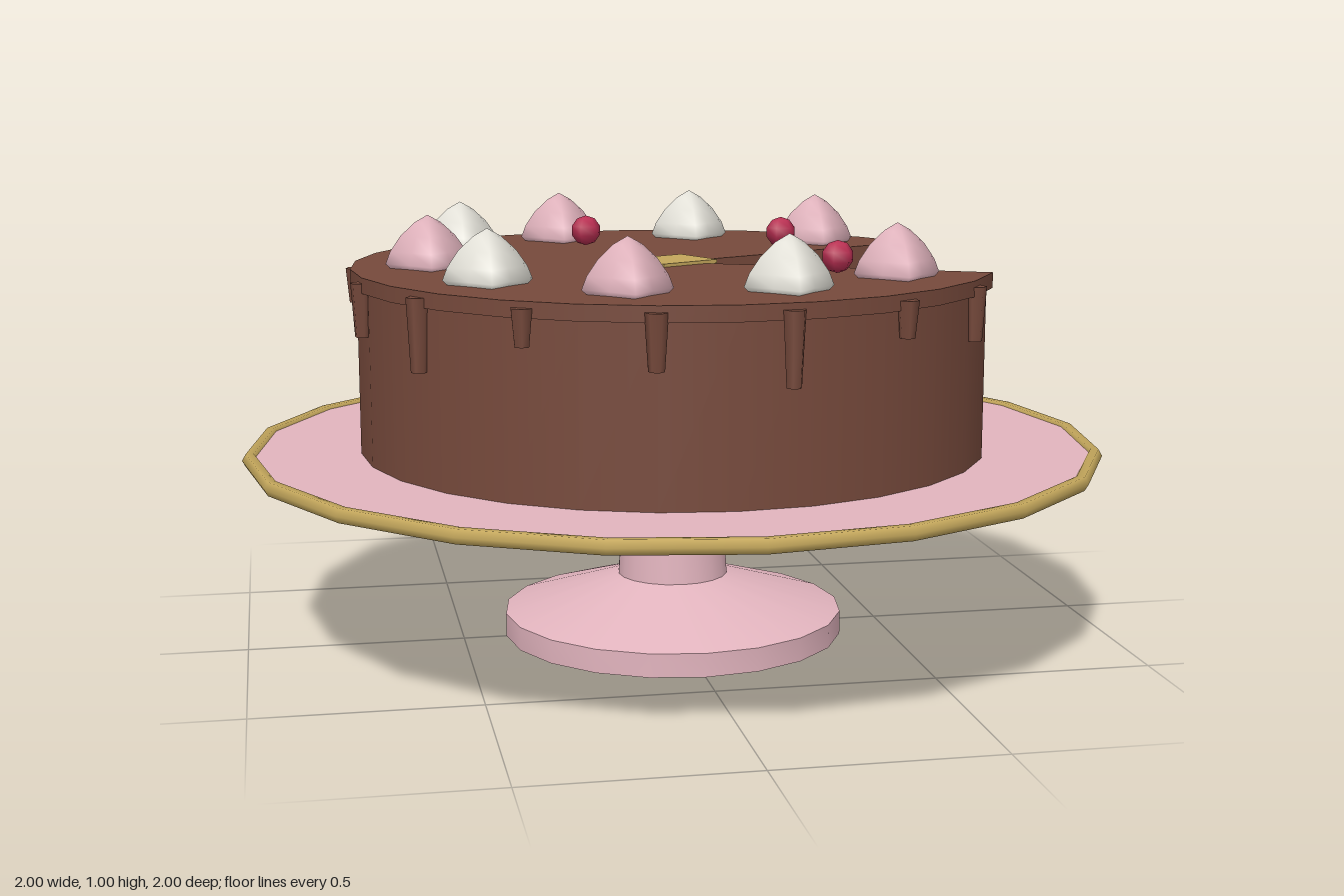
import * as THREE from 'three';
import { mergeVertices, toCreasedNormals } from 'three/addons/utils/BufferGeometryUtils.js';

const mat = (name, color, side = THREE.FrontSide) => {
  const m = new THREE.MeshStandardMaterial({ color, side });
  m.name = name;
  return m;
};
const v2 = (pts) => pts.map(([x, y]) => new THREE.Vector2(x, y));

const CUT = 0.45; // half angle of the missing slice, which opens towards +x

// Four-lobed piped swirl, standing on y = 0
function dollopGeometry() {
  const profile = [[0.085, 0], [0.097, 0.012], [0.086, 0.04], [0.062, 0.075], [0.03, 0.105], [0, 0.122]];
  let g = new THREE.LatheGeometry(v2(profile), 8);
  const p = g.attributes.position;
  for (let i = 0; i < p.count; i++) {
    const lobe = Math.cos(4 * Math.atan2(p.getX(i), p.getZ(i)));
    const k = lobe > 0 ? 1 : 0.66;
    p.setXYZ(i, p.getX(i) * k, p.getY(i), p.getZ(i) * k);
  }
  g.deleteAttribute('uv');
  g.deleteAttribute('normal');
  g = mergeVertices(g, 1e-5);
  g.computeVertexNormals();
  return g;
}

export function createModel() {
  const root = new THREE.Group();
  root.name = 'cakeOnStand';

  const pink = mat('pink', 0xe2b4be);
  const gold = mat('gold', 0xc4a75c);
  const chocolate = mat('chocolate', 0x774a3c);
  const cream = mat('cream', 0xebe9e0);
  const raspberry = mat('raspberry filling', 0xc4637e);
  const berryRed = mat('berry red', 0xb92f52);

  const add = (name, geometry, material, parent = root) => {
    const m = new THREE.Mesh(geometry, material);
    m.name = name;
    parent.add(m);
    return m;
  };

  // Stand: foot, stem and plate turned in one piece
  const stand = new THREE.LatheGeometry(v2([
    [0, 0], [0.4, 0], [0.4, 0.055], [0.13, 0.14], [0.117, 0.345], [0.16, 0.362],
    [0.26, 0.384], [0.97, 0.432], [0.975, 0.455], [0, 0.455],
  ]), 20);
  add('stand', toCreasedNormals(stand, 0.9), pink);

  const rim = new THREE.TorusGeometry(0.98, 0.018, 6, 20);
  rim.rotateX(Math.PI / 2);
  add('plateRim', rim, gold).position.y = 0.447;

  // Upright face on one side of the cut, lifted slightly into the gap
  const cutFace = (side, r0, r1, y0, y1, lift) => {
    const g = new THREE.PlaneGeometry(r1 - r0, y1 - y0);
    if (side > 0) g.rotateY(Math.PI);
    g.translate((r0 + r1) / 2, (y0 + y1) / 2, -side * lift);
    g.rotateY(-side * CUT);
    return g;
  };

  // Cake with a slice removed
  const cake = new THREE.Group();
  cake.name = 'cake';
  root.add(cake);
  const sector = (name, r, y0, y1) => {
    const g = new THREE.CylinderGeometry(r, r, y1 - y0, 24, 1, false,
      Math.PI / 2 + CUT, Math.PI * 2 - 2 * CUT);
    add(name, g, chocolate, cake).position.y = (y0 + y1) / 2;
    for (const s of [-1, 1]) add(name + 'Cut', cutFace(s, 0, r, y0, y1, 0), chocolate, cake);
  };
  sector('cakeBody', 0.728, 0.455, 0.845);
  sector('glaze', 0.742, 0.845, 0.88);
  for (const s of [-1, 1]) {
    add('raspberryLayer', cutFace(s, 0.008, 0.7, 0.71, 0.745, 0.003), raspberry, cake);
    add('creamLayer', cutFace(s, 0.008, 0.7, 0.573, 0.61, 0.003), cream, cake);
  }

  // Things spread evenly around the cake, clear of the cut
  const around = (count, first, radius, place) => {
    for (let i = 0; i < count; i++) {
      const a = first + (i / (count - 1)) * (Math.PI * 2 - 2 * first);
      place(i, radius * Math.cos(a), radius * Math.sin(a), a);
    }
  };

  // Glaze drips in three repeating lengths
  const lengths = [0.12, 0.08, 0.16];
  around(14, 0.65, 0.737, (i, x, z, a) => {
    const h = lengths[i % 3];
    const drip = add('drip', new THREE.CylinderGeometry(0.025, 0.017, h, 6), chocolate, cake);
    drip.position.set(x, 0.866 - h / 2, z);
    drip.rotation.y = -a;
  });

  // Piped swirls alternating in colour
  const dollop = dollopGeometry();
  around(9, 0.7, 0.565, (i, x, z) => {
    add('dollop', dollop, i % 2 ? cream : pink).position.set(x, 0.878, z);
  });

  // Berries inside every second swirl
  const berry = new THREE.SphereGeometry(0.037, 6, 5);
  around(5, 0.7, 0.422, (i, x, z) => {
    add('berry', berry, berryRed).position.set(x, 0.917, z);
  });

  // Small gold plaque in the middle
  const plaque = add('plaque', new THREE.BoxGeometry(0.157, 0.009, 0.136), gold);
  plaque.position.y = 0.883;
  plaque.rotation.y = 0.48;

  return root;
}
